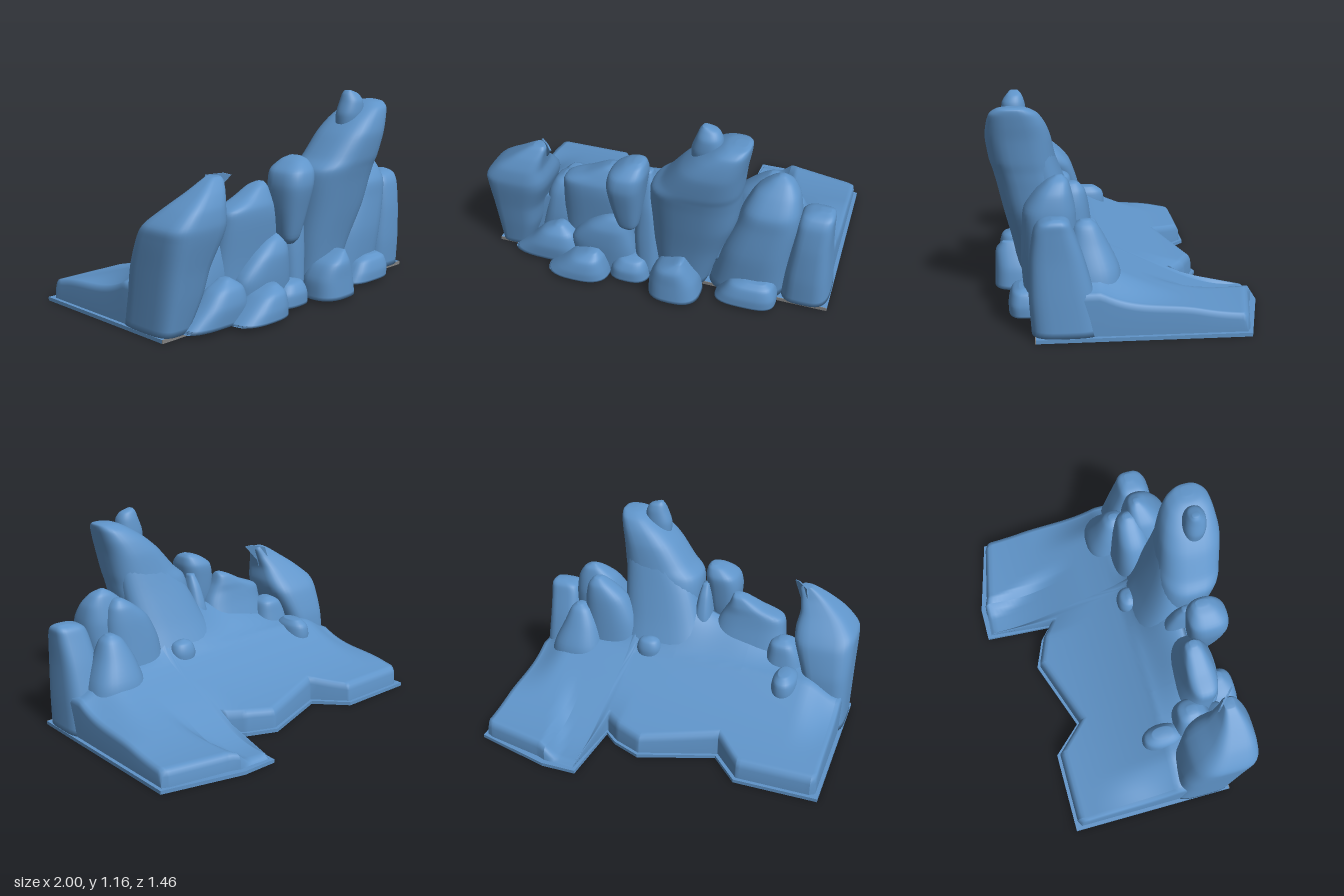
import * as THREE from 'three';

const rockBlue = new THREE.MeshStandardMaterial({ color: 0x5f94c9 });
rockBlue.name = 'rock blue';
const edgeGrey = new THREE.MeshStandardMaterial({ color: 0x808080 });
edgeGrey.name = 'edge grey';

const smooth = THREE.MathUtils.smoothstep;

function surface(name, positions, index) {
  const g = new THREE.BufferGeometry();
  g.setAttribute('position', new THREE.Float32BufferAttribute(positions, 3));
  g.setIndex(index);
  g.computeVertexNormals();
  const m = new THREE.Mesh(g, rockBlue);
  m.name = name;
  return m;
}

// Boulder lofted through level sections [y, x0, x1, z0, z1], listed upwards
function rock(name, sections, power = 0.75) {
  const N = 32, rows = (sections.length - 1) * 5;
  const xs = new THREE.CatmullRomCurve3(sections.map(s => new THREE.Vector3(s[1], s[0], s[2])), false, 'catmullrom', 0.4);
  const zs = new THREE.CatmullRomCurve3(sections.map(s => new THREE.Vector3(s[3], s[0], s[4])), false, 'catmullrom', 0.4);
  const pos = [], idx = [];
  const bend = v => Math.sign(v) * Math.pow(Math.abs(v), power);
  for (let i = 0; i <= rows; i++) {
    const p = xs.getPoint(i / rows), q = zs.getPoint(i / rows);
    for (let j = 0; j < N; j++) {
      const a = (j / N) * Math.PI * 2;
      pos.push((p.x + p.z) / 2 + bend(Math.cos(a)) * (p.z - p.x) / 2, p.y,
        (q.x + q.z) / 2 + bend(Math.sin(a)) * (q.z - q.x) / 2);
    }
  }
  for (let i = 0; i < rows; i++) for (let j = 0; j < N; j++) {
    const a = i * N + j, b = i * N + (j + 1) % N;
    idx.push(a, a + N, b, b, a + N, b + N);
  }
  // end caps
  const s0 = sections[0], s1 = sections[sections.length - 1], c = pos.length / 3, top = rows * N;
  for (const s of [s0, s1]) pos.push((s[1] + s[2]) / 2, s[0], (s[3] + s[4]) / 2);
  for (let j = 0; j < N; j++) {
    const k = (j + 1) % N;
    idx.push(c, j, k, c + 1, top + k, top + j);
  }
  return surface(name, pos, idx);
}

// Back edge of the ground as x, z
const BACK = [[-0.98, -0.45], [-0.95, -0.47], [-0.53, -0.47], [-0.37, -0.3], [0.07, -0.45], [0.23, -0.385],
  [0.325, -0.31], [0.365, -0.71], [0.55, -0.7], [0.6, -0.68], [0.94, -0.61], [0.98, -0.59]];

function backZ(x) {
  for (let i = 1; i < BACK.length; i++) {
    const [x0, z0] = BACK[i - 1], [x1, z1] = BACK[i];
    if (x <= x1) return z0 + (z1 - z0) * (x - x0) / (x1 - x0);
  }
  return BACK[BACK.length - 1][1];
}

function groundHeight(x, z) {
  const t = Math.min(z, 0.15) + 0.65;
  let h = 0.11 + 0.15 * (Math.max(t, 0) / 0.65) ** 2;
  h -= 0.1 * smooth(Math.abs(x), 0.75, 0.98) * smooth(z, -0.35, 0.15);
  // low gully beside the rear mound, whose crest drifts sideways
  const crest = 0.56 + 0.22 * (z + 0.65);
  h -= 0.07 * smooth(x, 0.2, 0.38) * (1 - smooth(x, crest - 0.08, crest + 0.02)) * (1 - smooth(z, -0.6, -0.05));
  // slope running up behind the peak
  const rise = smooth(z, 0.12, 0.42);
  h += rise * 0.35 * Math.exp(-(((x - 0.2) / 0.28) ** 2));
  h += 0.14 * rise * Math.exp(-(((x + 0.3) / 0.3) ** 2));
  return h;
}

function ground() {
  const xs = BACK.map(p => p[0]);
  for (let i = 1; i < 64; i++) xs.push(-0.98 + 1.96 * i / 64);
  xs.sort((a, b) => a - b);
  const cols = [xs[0], xs[0], xs[0] + 0.008, ...xs.slice(1, -1), 0.972, 0.98, 0.98];
  const rows = 44, pos = [], idx = [];
  cols.forEach((x, i) => {
    const edge = Math.min(i, cols.length - 1 - i);
    const zb = backZ(x);
    for (let k = 0; k <= rows; k++) {
      const v = Math.max(k - 3, 0) / (rows - 4);
      const z = zb + [0, 0.004, 0.015, 0.03][Math.min(k, 3)] + Math.min(v, 1) * (0.4 - zb);
      let y = groundHeight(x, z) - [0, 0.035, 0.012, 0][Math.min(k, 3)];
      if (edge === 1) y -= 0.03;
      if (edge === 0 || k === 0 || k === rows) y = 0.02;
      pos.push(x, Math.max(y, 0.02), z);
    }
  });
  const n = rows + 1;
  for (let i = 0; i < cols.length - 1; i++) for (let k = 0; k < rows; k++) {
    const a = i * n + k, b = a + n;
    idx.push(a, a + 1, b, b, a + 1, b + 1);
  }
  return surface('ground', pos, idx);
}

function basePlate() {
  const s = new THREE.Shape([[-1, 0.49], [-0.52, 0.49], [-0.36, 0.32], [0.07, 0.47], [0.24, 0.4], [0.32, 0.33],
    [0.345, 0.73], [0.55, 0.73], [1, 0.61], [1, -0.478], [-1, -0.478]].map(p => new THREE.Vector2(...p)));
  const g = new THREE.ExtrudeGeometry(s, { depth: 0.02, bevelEnabled: false });
  g.rotateX(-Math.PI / 2);
  const m = new THREE.Mesh(g, rockBlue);
  m.name = 'basePlate';
  return m;
}

export function createModel() {
  const group = new THREE.Group();
  group.add(basePlate(), ground());

  // grey cut face along the front of the plate
  const cut = new THREE.Mesh(new THREE.BoxGeometry(2, 0.02, 0.004), edgeGrey);
  cut.name = 'frontCutEdge';
  cut.position.set(0, 0.01, 0.48);
  group.add(cut);

  // tall rocks
  group.add(
    rock('mainPeak', [[0.02, 0.02, 0.3, 0.25, 0.55], [0.3, 0, 0.39, 0.28, 0.6], [0.5, 0, 0.465, 0.3, 0.645],
      [0.66, 0, 0.49, 0.32, 0.68], [0.74, 0.015, 0.5, 0.34, 0.7], [0.8, 0.08, 0.51, 0.355, 0.715],
      [0.92, 0.18, 0.525, 0.38, 0.73], [1.0, 0.27, 0.54, 0.41, 0.72], [1.06, 0.36, 0.55, 0.45, 0.7],
      [1.09, 0.42, 0.55, 0.5, 0.66], [1.1, 0.47, 0.53, 0.55, 0.61]]),
    rock('peakRearFlank', [[0.2, -0.14, 0.48, 0.1, 0.5], [0.35, -0.1, 0.48, 0.17, 0.52], [0.5, -0.04, 0.47, 0.24, 0.54],
      [0.7, 0.05, 0.48, 0.32, 0.56], [0.9, 0.2, 0.49, 0.39, 0.58]], 0.75),
    rock('peakKnob', [[0.95, 0.24, 0.42, 0.5, 0.63], [1.03, 0.24, 0.41, 0.505, 0.64], [1.1, 0.265, 0.4, 0.515, 0.635],
      [1.14, 0.28, 0.375, 0.53, 0.61], [1.16, 0.295, 0.32, 0.55, 0.59]], 0.9),
    rock('rightEndRock', [[0.02, -1, -0.8, 0.14, 0.5], [0.2, -1, -0.73, 0.16, 0.54], [0.35, -1, -0.7, 0.18, 0.57],
      [0.5, -1, -0.64, 0.23, 0.605], [0.57, -0.99, -0.63, 0.28, 0.615], [0.65, -0.91, -0.64, 0.36, 0.605],
      [0.72, -0.81, -0.63, 0.42, 0.575], [0.77, -0.73, -0.62, 0.45, 0.54], [0.79, -0.69, -0.63, 0.46, 0.52]], 0.55),
    rock('leftEndRock', [[0.02, 0.72, 0.998, 0.14, 0.5], [0.2, 0.735, 0.99, 0.175, 0.51], [0.4, 0.765, 0.98, 0.23, 0.505],
      [0.54, 0.785, 0.98, 0.28, 0.485], [0.59, 0.805, 0.98, 0.3, 0.46], [0.61, 0.84, 0.97, 0.32, 0.43],
      [0.622, 0.9, 0.95, 0.35, 0.39]], 0.6),
    rock('leftLeaningRock', [[0.02, 0.3, 0.74, 0.2, 0.53], [0.3, 0.37, 0.77, 0.22, 0.55], [0.5, 0.45, 0.8, 0.25, 0.54],
      [0.6, 0.49, 0.8, 0.26, 0.53], [0.69, 0.54, 0.78, 0.28, 0.47], [0.75, 0.61, 0.74, 0.3, 0.41],
      [0.78, 0.66, 0.69, 0.33, 0.36]]),
    rock('hangingRock', [[0.36, -0.17, -0.11, 0.5, 0.56], [0.4, -0.2, -0.08, 0.46, 0.59], [0.55, -0.23, -0.05, 0.43, 0.63],
      [0.68, -0.24, -0.03, 0.42, 0.66], [0.76, -0.22, -0.02, 0.42, 0.65], [0.81, -0.15, -0.03, 0.45, 0.6],
      [0.83, -0.09, -0.05, 0.48, 0.55]]),
    rock('slantedPillar', [[0.02, -0.12, 0.03, 0.3, 0.54], [0.3, -0.13, 0.035, 0.3, 0.54], [0.5, -0.1, 0.02, 0.32, 0.53],
      [0.64, -0.08, 0.0, 0.37, 0.5], [0.72, -0.06, -0.02, 0.42, 0.47]]),
    rock('middleRidge', [[0.02, -0.6, -0.06, 0.22, 0.48], [0.3, -0.58, -0.08, 0.26, 0.5], [0.5, -0.56, -0.13, 0.32, 0.52],
      [0.58, -0.54, -0.17, 0.34, 0.52], [0.63, -0.42, -0.2, 0.35, 0.5], [0.68, -0.32, -0.22, 0.37, 0.47],
      [0.7, -0.27, -0.23, 0.4, 0.44]], 0.7),
    rock('lowShoulder', [[0.02, -0.8, -0.45, 0.18, 0.46], [0.25, -0.73, -0.46, 0.2, 0.46], [0.4, -0.69, -0.48, 0.23, 0.44],
      [0.47, -0.65, -0.5, 0.25, 0.41], [0.5, -0.6, -0.55, 0.3, 0.36]]));

  // boulders along the front
  group.add(
    rock('frontBoulder1', [[0.02, -0.88, -0.42, 0.4, 0.58], [0.12, -0.77, -0.46, 0.4, 0.59], [0.2, -0.69, -0.49, 0.42, 0.57],
      [0.25, -0.6, -0.56, 0.46, 0.52]]),
    rock('frontBoulder2', [[0.02, -0.5, -0.1, 0.38, 0.56], [0.2, -0.5, -0.12, 0.4, 0.58], [0.32, -0.4, -0.14, 0.41, 0.58],
      [0.39, -0.3, -0.15, 0.43, 0.55], [0.42, -0.22, -0.18, 0.46, 0.51]]),
    rock('frontBoulder3', [[0.02, -0.62, -0.25, 0.46, 0.7], [0.08, -0.55, -0.26, 0.47, 0.7], [0.15, -0.46, -0.28, 0.5, 0.68],
      [0.19, -0.36, -0.31, 0.55, 0.62]]),
    rock('frontBoulder4', [[0.02, -0.26, -0.02, 0.42, 0.62], [0.09, -0.24, -0.03, 0.43, 0.62], [0.14, -0.2, -0.05, 0.45, 0.59],
      [0.155, -0.15, -0.1, 0.5, 0.54]]),
    rock('frontBoulder5', [[0.02, 0, 0.3, 0.45, 0.71], [0.13, 0.01, 0.28, 0.46, 0.705], [0.22, 0.06, 0.24, 0.5, 0.7],
      [0.28, 0.18, 0.21, 0.58, 0.66]]),
    rock('frontBoulder6', [[0.02, 0.37, 0.72, 0.42, 0.62], [0.08, 0.41, 0.72, 0.43, 0.62], [0.14, 0.46, 0.7, 0.45, 0.6],
      [0.165, 0.54, 0.66, 0.49, 0.56]], 0.65));

  // rocks and pebbles on the rear slope
  group.add(
    rock('rearRock', [[0.15, 0.52, 0.92, 0.02, 0.34], [0.3, 0.56, 0.88, 0.04, 0.32], [0.43, 0.6, 0.82, 0.1, 0.31],
      [0.52, 0.65, 0.78, 0.15, 0.28], [0.555, 0.7, 0.74, 0.19, 0.24]], 0.85),
    rock('rearShoulder', [[0.2, 0.32, 0.72, 0.14, 0.4], [0.45, 0.36, 0.71, 0.17, 0.4], [0.6, 0.43, 0.7, 0.19, 0.38],
      [0.68, 0.52, 0.68, 0.21, 0.35], [0.72, 0.58, 0.65, 0.24, 0.32], [0.73, 0.6, 0.63, 0.26, 0.29]], 0.85),
    rock('rearPebbleLeft', [[0.2, 0.18, 0.3, 0.12, 0.24], [0.34, 0.16, 0.32, 0.11, 0.25], [0.4, 0.18, 0.3, 0.13, 0.23],
      [0.42, 0.22, 0.25, 0.17, 0.19]], 0.9),
    rock('rearPebbleRight', [[0.18, -0.7, -0.58, 0.05, 0.28], [0.26, -0.72, -0.56, 0.02, 0.28], [0.34, -0.71, -0.57, 0.03, 0.26],
      [0.38, -0.67, -0.6, 0.08, 0.2]], 0.9));

  // thin sliver at the tip of the end rock
  const tip = new THREE.Shape([[-0.07, 0.66], [0.01, 0.66], [0.02, 0.7], [0.1, 0.79], [0.06, 0.8], [-0.03, 0.79]]
    .map(p => new THREE.Vector2(...p)));
  const sliver = new THREE.Mesh(new THREE.ExtrudeGeometry(tip, { depth: 0.009, bevelEnabled: false }), rockBlue);
  sliver.name = 'tipSliver';
  sliver.position.set(-0.645, 0, 0.46);
  sliver.rotation.y = -Math.PI / 4;
  group.add(sliver);

  return group;
}
